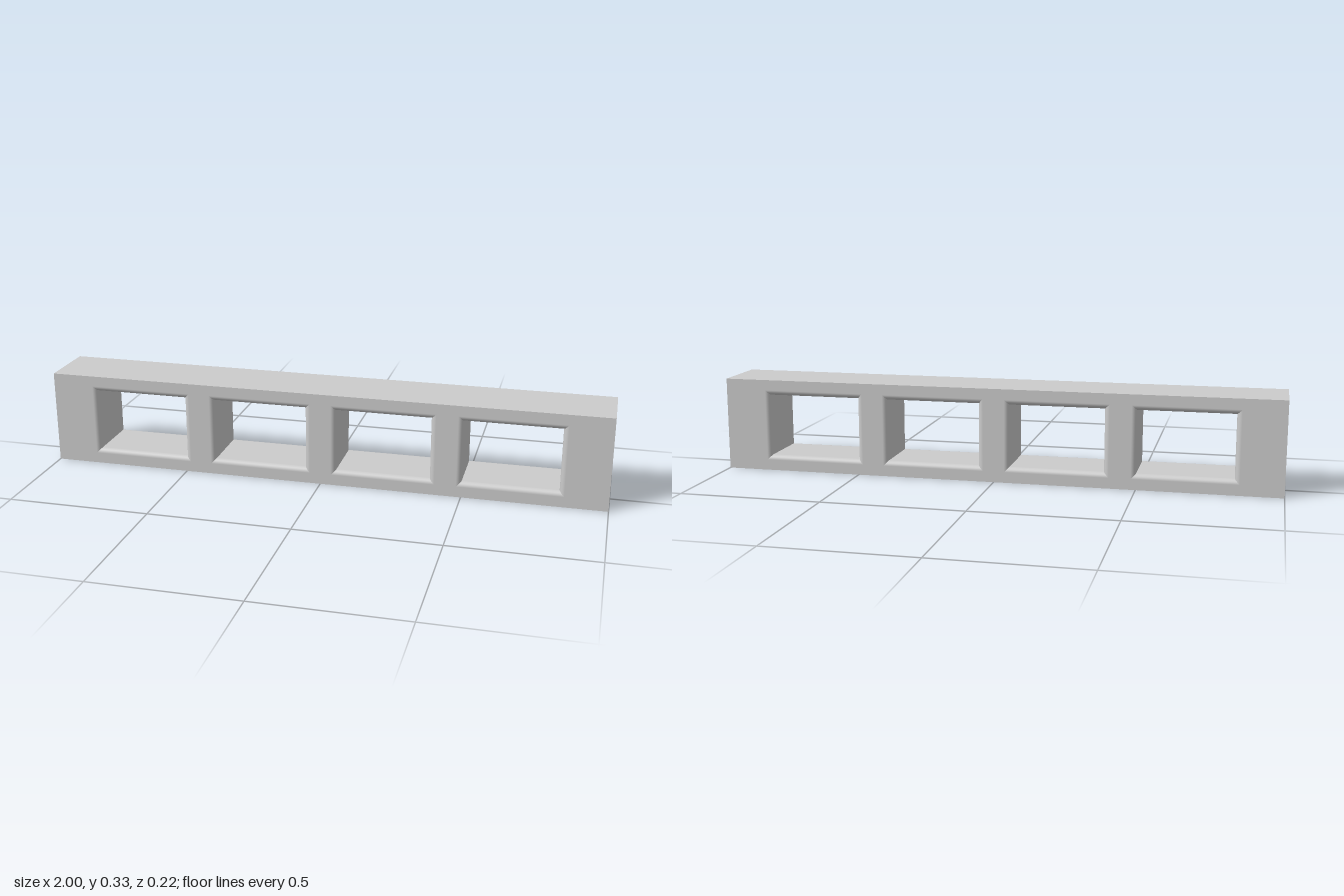
import * as THREE from 'three';

const W = 2, H = 1 / 3, D = 2 / 9;          // beam size
const HALF_W = 1 / 6, HALF_H = 1 / 9;       // half size of a window opening
const R = 0.018, STEPS = 6;                 // rounded window edge
const CENTRES = [-3, -1, 1, 3].map(i => i * 2 / 9);

// Front face: rectangle with four rectangular holes, widened by the edge radius
function faceGeometry() {
  const rect = (path, cx, cy, a, b) => path
    .moveTo(cx - a, cy - b).lineTo(cx + a, cy - b)
    .lineTo(cx + a, cy + b).lineTo(cx - a, cy + b).closePath();
  const shape = new THREE.Shape();
  rect(shape, 0, H / 2, W / 2, H / 2);
  for (const x of CENTRES) {
    const hole = new THREE.Path();
    rect(hole, x, H / 2, HALF_W + R, HALF_H + R);
    shape.holes.push(hole);
  }
  return new THREE.ShapeGeometry(shape).translate(0, 0, D / 2);
}

// Lining of one window: a rounded-edge profile on four walls, mitred in the corners
function liningGeometry() {
  const profile = [];
  for (let i = 0; i <= STEPS; i++) {
    const t = i / STEPS * Math.PI / 2;
    profile.push({ d: R - R * Math.sin(t), z: D / 2 - R + R * Math.cos(t), n: Math.sin(t), nz: Math.cos(t) });
  }
  profile.push(...profile.slice().reverse().map(p => ({ ...p, z: -p.z, nz: -p.nz })));

  const pos = [], nor = [], idx = [];
  for (let k = 0; k < 4; k++) {
    const ux = [1, 0, -1, 0][k], uy = [0, 1, 0, -1][k];
    const hu = k % 2 ? HALF_H : HALF_W, hv = k % 2 ? HALF_W : HALF_H;
    const base = pos.length / 3;
    profile.forEach((p, i) => {
      for (const s of [-1, 1]) {
        const u = hu + p.d, v = s * (hv + p.d);
        pos.push(ux * u - uy * v, uy * u + ux * v, p.z);
        nor.push(-ux * p.n, -uy * p.n, p.nz);
      }
      if (i < profile.length - 1) {
        const a = base + i * 2;
        idx.push(a, a + 1, a + 2, a + 1, a + 3, a + 2);
      }
    });
  }
  const g = new THREE.BufferGeometry();
  g.setAttribute('position', new THREE.Float32BufferAttribute(pos, 3));
  g.setAttribute('normal', new THREE.Float32BufferAttribute(nor, 3));
  g.setIndex(idx);
  return g;
}

export function createModel() {
  const group = new THREE.Group();
  group.name = 'windowedBeam';
  const material = new THREE.MeshStandardMaterial({ color: 0xcccccc });
  const add = (name, geometry) => {
    const mesh = new THREE.Mesh(geometry, material);
    mesh.name = name;
    group.add(mesh);
    return mesh;
  };

  // Front and back faces
  const face = faceGeometry();
  add('frontFace', face);
  add('backFace', face).rotation.y = Math.PI;

  // Top, bottom and ends
  add('topFace', new THREE.PlaneGeometry(W, D).rotateX(-Math.PI / 2).translate(0, H, 0));
  add('bottomFace', new THREE.PlaneGeometry(W, D).rotateX(Math.PI / 2));
  for (const s of [-1, 1]) {
    add(s > 0 ? 'leftEnd' : 'rightEnd',
      new THREE.PlaneGeometry(D, H).rotateY(s * Math.PI / 2).translate(s * W / 2, H / 2, 0));
  }

  // Window linings
  const lining = liningGeometry();
  CENTRES.forEach((x, i) => add('windowLining' + (i + 1), lining).position.set(x, H / 2, 0));
  return group;
}
